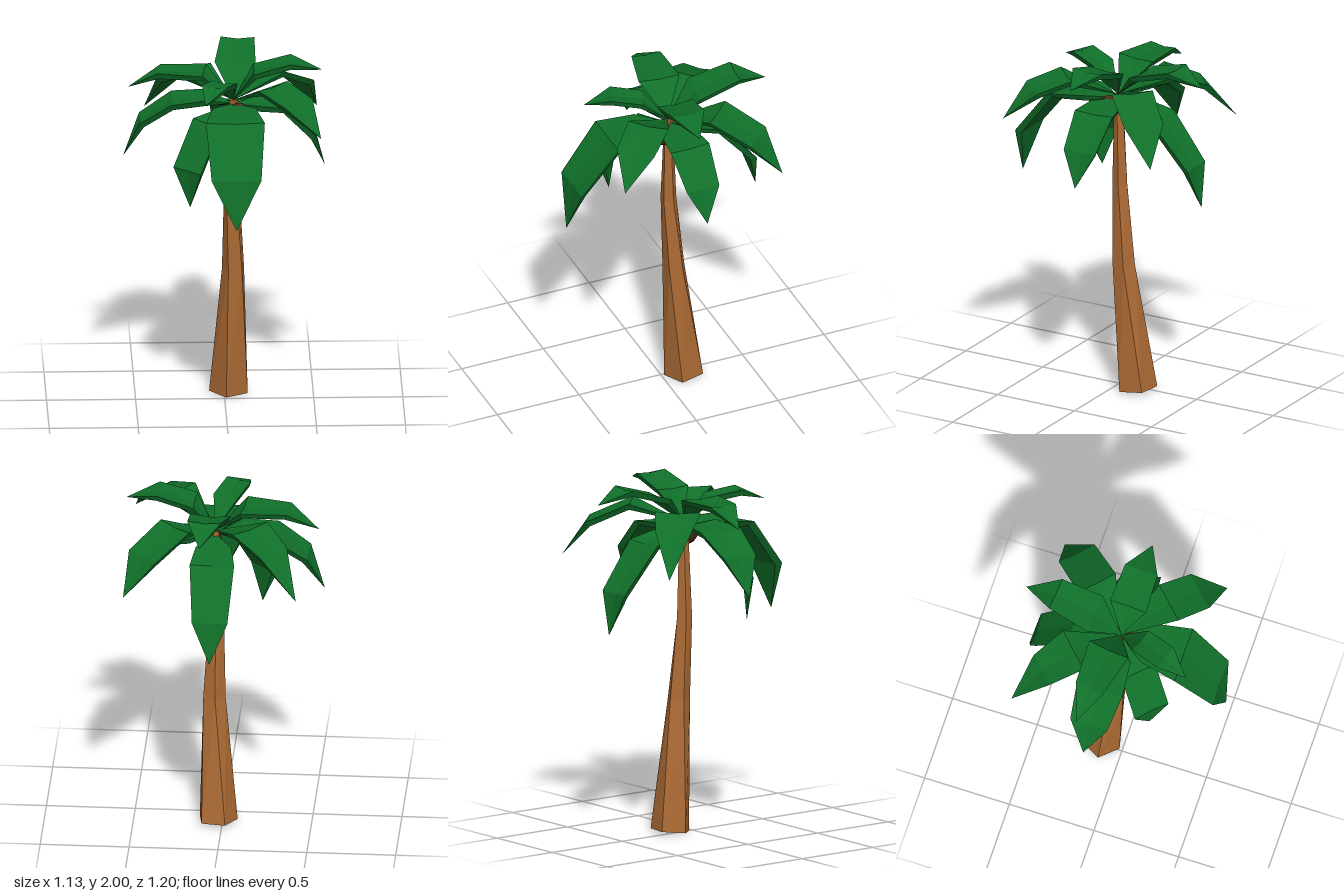
import * as THREE from 'three';

// Skin closed rings (counter-clockwise seen from the far end) with flat facets
function loft(rings, material, name) {
  const pos = [];
  const tri = (a, b, c) => {
    const area = b.clone().sub(a).cross(c.clone().sub(a)).length();
    if (area > 1e-7) for (const p of [a, b, c]) pos.push(p.x, p.y, p.z);
  };
  const n = rings[0].length;
  for (let k = 0; k < rings.length - 1; k++) {
    const r = rings[k], s = rings[k + 1];
    for (let i = 0; i < n; i++) {
      const j = (i + 1) % n;
      tri(r[i], r[j], s[j]);
      tri(r[i], s[j], s[i]);
    }
  }
  const first = rings[0], last = rings[rings.length - 1];
  for (let i = 1; i < n - 1; i++) {
    tri(first[0], first[i + 1], first[i]);
    tri(last[0], last[i], last[i + 1]);
  }
  const geo = new THREE.BufferGeometry();
  geo.setAttribute('position', new THREE.Float32BufferAttribute(pos, 3));
  geo.computeVertexNormals();
  const mesh = new THREE.Mesh(geo, material);
  mesh.name = name;
  return mesh;
}

const CROWN = { x: 0.05, z: -0.02 };

// One leaf: aimed at (tx, tz); sections are [distance, height, half width]
function frond(tx, tz, sections, material, name) {
  const f = new THREE.Vector3(tx - CROWN.x, 0, tz - CROWN.z).normalize();
  const side = new THREE.Vector3(f.z, 0, -f.x);
  const rings = sections.map(([d, y, w], k) => {
    const p = sections[Math.max(k - 1, 0)];
    const q = sections[Math.min(k + 1, sections.length - 1)];
    const len = Math.hypot(q[0] - p[0], q[1] - p[1]);
    const nd = -(q[1] - p[1]) / len, ny = (q[0] - p[0]) / len;
    const t = w > 0 ? 0.035 : 0;
    // top edge, shallow midrib groove, top edge, inset underside
    return [[w, 0], [0, -t * 0.3], [-w, 0], [-w * 0.85, -t], [w * 0.85, -t]].map(([s, h]) =>
      new THREE.Vector3(CROWN.x, y + h * ny, CROWN.z)
        .addScaledVector(f, d + h * nd)
        .addScaledVector(side, s));
  });
  return loft(rings, material, name);
}

export function createModel() {
  const group = new THREE.Group();
  const green = new THREE.MeshStandardMaterial({ color: 0x10702a });
  const bark = new THREE.MeshStandardMaterial({ color: 0xad6b35 });
  const husk = new THREE.MeshStandardMaterial({ color: 0x4e2b1c });
  green.name = 'leaf green';
  bark.name = 'bark brown';
  husk.name = 'husk brown';

  // Twisted, leaning five-sided trunk: [x, y, z, radius, twist in degrees]
  const trunk = [
    [0.03, 0.012, -0.13, 0.115, 100],
    [0.052, 0.75, -0.06, 0.066, 118],
    [0.04, 1.22, -0.03, 0.046, 130],
    [0.05, 1.76, -0.025, 0.026, 140],
  ].map(([x, y, z, r, a], k) => Array.from({ length: 5 }, (_, i) => {
    const t = THREE.MathUtils.degToRad(a - i * 72);
    const tilt = k === 0 ? -0.1 * r * Math.sin(t) : 0;
    return new THREE.Vector3(x + r * Math.cos(t), y + tilt, z + r * Math.sin(t));
  }));
  group.add(loft(trunk, bark, 'trunk'));

  // Coconut beside the trunk top
  const coconut = new THREE.Mesh(new THREE.IcosahedronGeometry(0.065, 1), husk);
  coconut.name = 'coconut';
  coconut.position.set(0.08, 1.69, 0.02);
  group.add(coconut);

  const root = [0, 1.76, 0];
  const lowRoot = [0, 1.74, 0];
  const leaves = {
    // short raised leaves
    upperBack: [0.1, -0.6, [root, [0.16, 1.93, 0.115], [0.4, 2.0, 0.095], [0.58, 1.92, 0]]],
    upperRight: [0.55, 0, [root, [0.11, 1.94, 0.107], [0.32, 2.0, 0.097], [0.5, 1.94, 0]]],
    upperLeft: [-0.54, -0.09, [root, [0.165, 1.93, 0.12], [0.42, 1.93, 0.085], [0.595, 1.82, 0]]],
    upperFront: [-0.12, 0.42, [root, [0.14, 1.91, 0.075], [0.32, 1.94, 0.075], [0.47, 1.87, 0]]],
    // diagonal leaves
    backLeft: [-0.44, -0.51, [root, [0.3, 1.88, 0.13], [0.5, 1.8, 0.1], [0.69, 1.565, 0]]],
    backRight: [0.53, -0.51, [root, [0.3, 1.88, 0.12], [0.545, 1.77, 0.113], [0.69, 1.56, 0]]],
    frontRight: [0.53, 0.45, [root, [0.3, 1.91, 0.12], [0.5, 1.85, 0.113], [0.67, 1.68, 0]]],
    frontLeft: [-0.2, 0.23, [lowRoot, [0.22, 1.68, 0.105], [0.38, 1.43, 0.105], [0.354, 1.21, 0]]],
    // long drooping leaves
    lowerFront: [0.05, 0.6,
      [lowRoot, [0.15, 1.76, 0.12], [0.37, 1.745, 0.165], [0.588, 1.475, 0.14], [0.62, 1.19, 0]]],
    lowerBack: [0.045, -0.57,
      [lowRoot, [0.14, 1.72, 0.1], [0.29, 1.68, 0.125], [0.505, 1.42, 0.1], [0.54, 1.18, 0]]],
    lowerLeft: [-0.57, -0.04,
      [lowRoot, [0.15, 1.79, 0.11], [0.35, 1.77, 0.135], [0.53, 1.65, 0.11], [0.62, 1.43, 0]]],
    lowerRight: [0.56, -0.04,
      [lowRoot, [0.14, 1.75, 0.1], [0.29, 1.74, 0.12], [0.46, 1.565, 0.1], [0.515, 1.365, 0]]],
  };
  for (const [name, [x, z, sections]] of Object.entries(leaves)) {
    group.add(frond(x, z, sections, green, name + 'Frond'));
  }
  return group;
}
